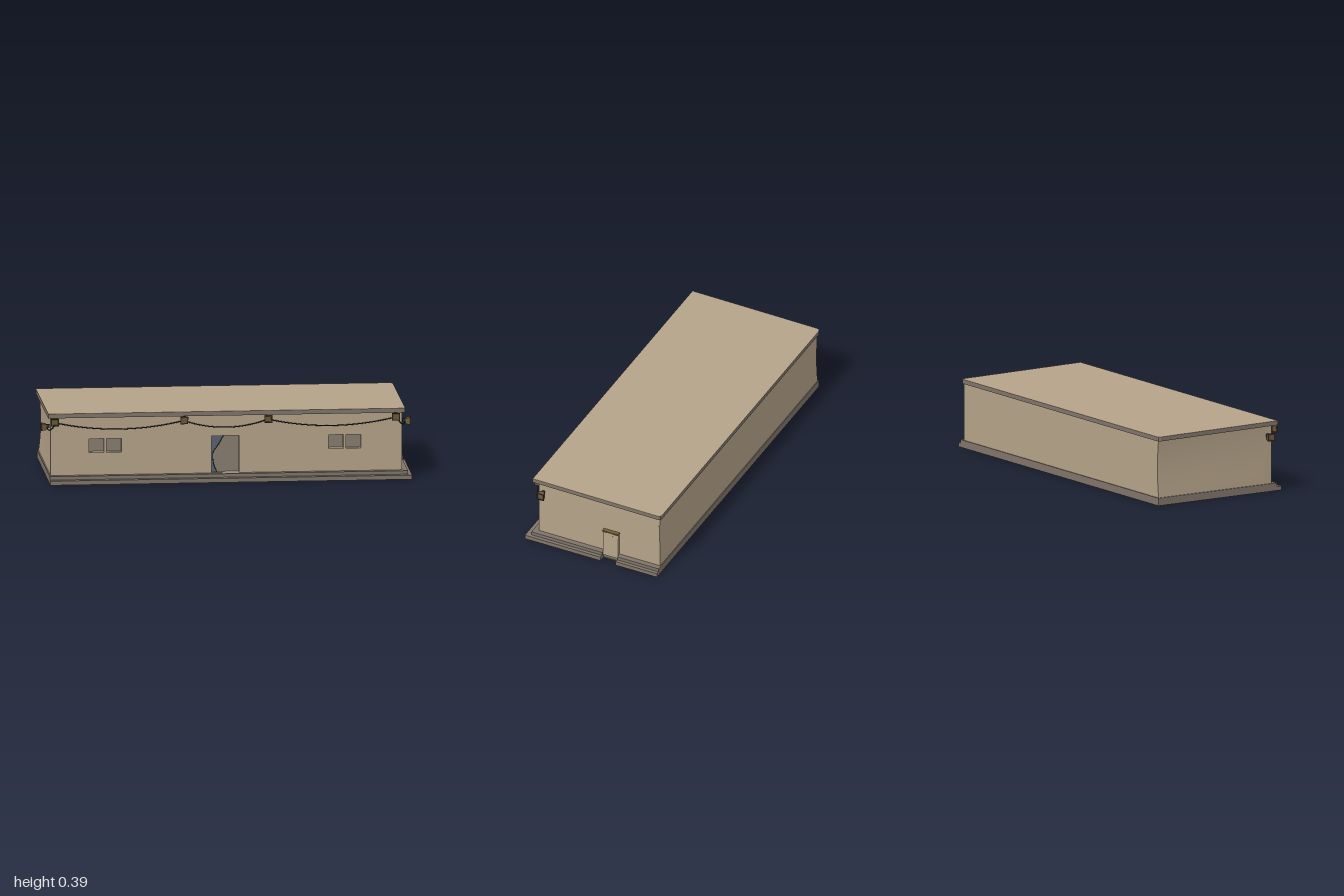
import * as THREE from 'three';

const mat = (name, color, extra = {}) => {
  const m = new THREE.MeshStandardMaterial({ color, ...extra });
  m.name = name;
  return m;
};

export function createModel() {
  const plaster = mat('tan plaster', 0xb5a389);
  const stone = mat('grey stone', 0x80756a);
  const inside = mat('shaded interior', 0x877c6f);
  const lampBrown = mat('lamp brown', 0x735d3c);
  const lampDark = mat('lamp frame', 0x453a2a);
  const cableMat = mat('dark cable', 0x272b32);
  const cloth = mat('blue grey cloth', 0x59626f, { side: THREE.DoubleSide });

  const model = new THREE.Group();
  model.name = 'longBuilding';

  const add = (name, geo, material, parent = model) => {
    const mesh = new THREE.Mesh(geo, material);
    mesh.name = name;
    parent.add(mesh);
    return mesh;
  };
  // Box given by its limits
  const box = (name, material, x0, x1, y0, y1, z0, z1, parent) => {
    const g = new THREE.BoxGeometry(x1 - x0, y1 - y0, z1 - z0);
    g.translate((x0 + x1) / 2, (y0 + y1) / 2, (z0 + z1) / 2);
    return add(name, g, material, parent);
  };
  const polygon = pts => new THREE.Shape(pts.map(p => new THREE.Vector2(p[0], p[1])));
  const extrude = (shape, depth) =>
    new THREE.ExtrudeGeometry(shape, { depth, bevelEnabled: false, curveSegments: 6 });
  // Horizontal slab from an (x, z) outline
  const slab = (pts, y0, y1) =>
    extrude(polygon(pts.map(([x, z]) => [x, -z])), y1 - y0).rotateX(-Math.PI / 2).translate(0, y0, 0);

  // Two plinth steps, notched at the side door
  const plinth = (x1, zFront) => [
    [-0.957, zFront], [x1, zFront], [x1, -0.055], [0.962, -0.055],
    [0.962, -0.147], [x1, -0.147], [x1, -0.395], [-0.957, -0.395],
  ];
  add('lowerStep', slab(plinth(1, 0.4), 0, 0.023), stone);
  add('upperStep', slab(plinth(0.98, 0.37), 0.023, 0.042), stone);
  box('floorStrip', stone, -0.8, 0.965, -0.001, 0.004, -0.145, -0.057);

  // Body, with the rear corner at -x worn inwards
  const body = new THREE.BoxGeometry(1.9, 0.323, 0.69, 1, 6, 1);
  const p = body.attributes.position;
  for (let i = 0; i < p.count; i++) {
    if (p.getX(i) < 0 && p.getZ(i) < 0) {
      p.setX(i, p.getX(i) + 0.012 * Math.sin(Math.PI * (p.getY(i) / 0.323 + 0.5)));
    }
  }
  body.translate(0, 0.2035, -0.045);
  body.computeVertexNormals();
  add('body', body, plaster);

  // Front wall with door and window openings
  const wall = polygon([[-0.95, 0.042], [0.95, 0.042], [0.95, 0.365], [-0.95, 0.365]]);
  const openings = [[-0.08, 0.07, 0.043, 0.245]];
  for (const x of [-0.655, 0.64]) {
    openings.push([x - 0.088, x - 0.007, 0.165, 0.24], [x + 0.007, x + 0.088, 0.165, 0.24]);
  }
  for (const [x0, x1, y0, y1] of openings) {
    wall.holes.push(new THREE.Path([
      new THREE.Vector2(x0, y0), new THREE.Vector2(x0, y1),
      new THREE.Vector2(x1, y1), new THREE.Vector2(x1, y0),
    ]));
    box('openingBack', inside, x0, x1, y0, y1, 0.297, 0.304);
  }
  add('frontWall', extrude(wall, 0.04).translate(0, 0, 0.3), plaster);

  // Cloth drawn to one side of the doorway
  const drape = new THREE.Shape();
  drape.moveTo(-0.08, 0.245);
  drape.lineTo(-0.08, 0.043);
  drape.lineTo(-0.05, 0.043);
  drape.quadraticCurveTo(-0.075, 0.09, -0.07, 0.155);
  drape.quadraticCurveTo(-0.045, 0.185, -0.015, 0.245);
  add('doorCurtain', new THREE.ShapeGeometry(drape), cloth).position.z = 0.325;
  const hem = new THREE.CatmullRomCurve3([[-0.05, 0.045], [-0.067, 0.09], [-0.07, 0.155], [-0.045, 0.19], [-0.015, 0.243]]
    .map(([x, y]) => new THREE.Vector3(x, y, 0.326)));
  add('curtainHem', new THREE.TubeGeometry(hem, 16, 0.002, 5), cableMat);

  // Roof slab with clipped rear corners, falling slightly to the back
  const roofOutline = [
    [-0.965, 0.37], [0.965, 0.37], [0.965, -0.385], [0.958, -0.396], [0.945, -0.4],
    [-0.945, -0.4], [-0.958, -0.396], [-0.965, -0.385],
  ];
  const roofPart = (name, y0, y1, material) => {
    const g = slab(roofOutline, y0, y1);
    const q = g.attributes.position;
    for (let i = 0; i < q.count; i++) q.setY(i, q.getY(i) + 0.009 * q.getZ(i));
    g.computeVertexNormals();
    add(name, g, material);
  };
  roofPart('roofSlab', 0.358, 0.38, stone);
  roofPart('roofTop', 0.38, 0.382, plaster);

  // Side door: a tapering porch with hood and flap
  const porch = extrude(polygon([
    [0.055, 0.023], [0.145, 0.023], [0.145, 0.165], [0.139, 0.176], [0.061, 0.176], [0.055, 0.165],
  ]), 0.022);
  const d = porch.attributes.position;
  for (let i = 0; i < d.count; i++) {
    if (d.getZ(i) > 0.01 && d.getY(i) > 0.1) d.setZ(i, 0.016);
  }
  porch.rotateY(Math.PI / 2).translate(0.948, 0, 0);
  porch.computeVertexNormals();
  add('sideDoor', porch, plaster);
  box('sideDoorHood', lampBrown, 0.945, 0.973, 0.175, 0.183, -0.147, -0.053);
  const flap = extrude(polygon([[0.078, 0.175], [0.088, 0.154], [0.112, 0.154], [0.122, 0.175]]), 0.004);
  add('sideDoorFlap', flap.rotateY(Math.PI / 2).translate(0.965, 0, 0), plaster);

  // Raised plaster patch at the rear of the side wall
  const patch = extrude(polygon([
    [0.388, 0.2], [0.388, 0.306], [0.378, 0.3], [0.37, 0.285], [0.372, 0.265],
    [0.358, 0.245], [0.355, 0.225], [0.365, 0.204],
  ].reverse()), 0.003);
  add('plasterPatch', patch.rotateY(Math.PI / 2).translate(0.949, 0, 0), plaster);

  // Floodlight facing +z: bracket, tapered housing, frame and lens
  const lamp = (name, x, y, z, turn, tilt) => {
    const g = new THREE.Group();
    g.name = name;
    g.position.set(x, y, z);
    g.rotation.set(tilt, turn, 0, 'YXZ');
    const housing = new THREE.CylinderGeometry(0.028, 0.022, 0.024, 4, 1);
    housing.rotateY(Math.PI / 4).rotateX(Math.PI / 2);
    add('lampHousing', housing.toNonIndexed(), lampBrown, g).geometry.computeVertexNormals();
    const rim = polygon([[-0.021, -0.02], [0.021, -0.02], [0.021, 0.02], [-0.021, 0.02]]);
    rim.holes.push(polygon([[-0.015, -0.014], [-0.015, 0.014], [0.015, 0.014], [0.015, -0.014]]));
    add('lampFrame', extrude(rim, 0.008).translate(0, 0, 0.008), lampDark, g);
    box('lampLens', lampBrown, -0.016, 0.016, -0.015, 0.015, 0.008, 0.013, g);
    box('lampBracket', cableMat, -0.008, 0.008, -0.006, 0.014, -0.03, -0.01, g);
    model.add(g);
  };
  const lampX = [-0.93, -0.23, 0.225, 0.915];
  lampX.forEach(x => lamp('frontLamp', x, 0.34, 0.361, 0, 0.12));
  for (const s of [-1, 1]) lamp('sideLamp', s * 0.984, 0.305, 0.308, s * Math.PI / 2, 0);

  // Hanging cables between lamps and round the corners
  const cable = pts => {
    const curve = new THREE.CatmullRomCurve3(pts.map(v => new THREE.Vector3(...v)));
    add('cable', new THREE.TubeGeometry(curve, 24, 0.003, 6), cableMat);
  };
  for (let i = 0; i < 3; i++) {
    const pts = [];
    for (let k = 0; k <= 8; k++) {
      const t = k / 8;
      pts.push([THREE.MathUtils.lerp(lampX[i], lampX[i + 1], t), 0.333 - 0.16 * t * (1 - t), 0.348]);
    }
    cable(pts);
  }
  for (const s of [-1, 1]) {
    cable([[s * 0.92, 0.335, 0.35], [s * 0.94, 0.305, 0.352], [s * 0.958, 0.291, 0.338], [s * 0.968, 0.3, 0.315]]);
  }
  return model;
}
